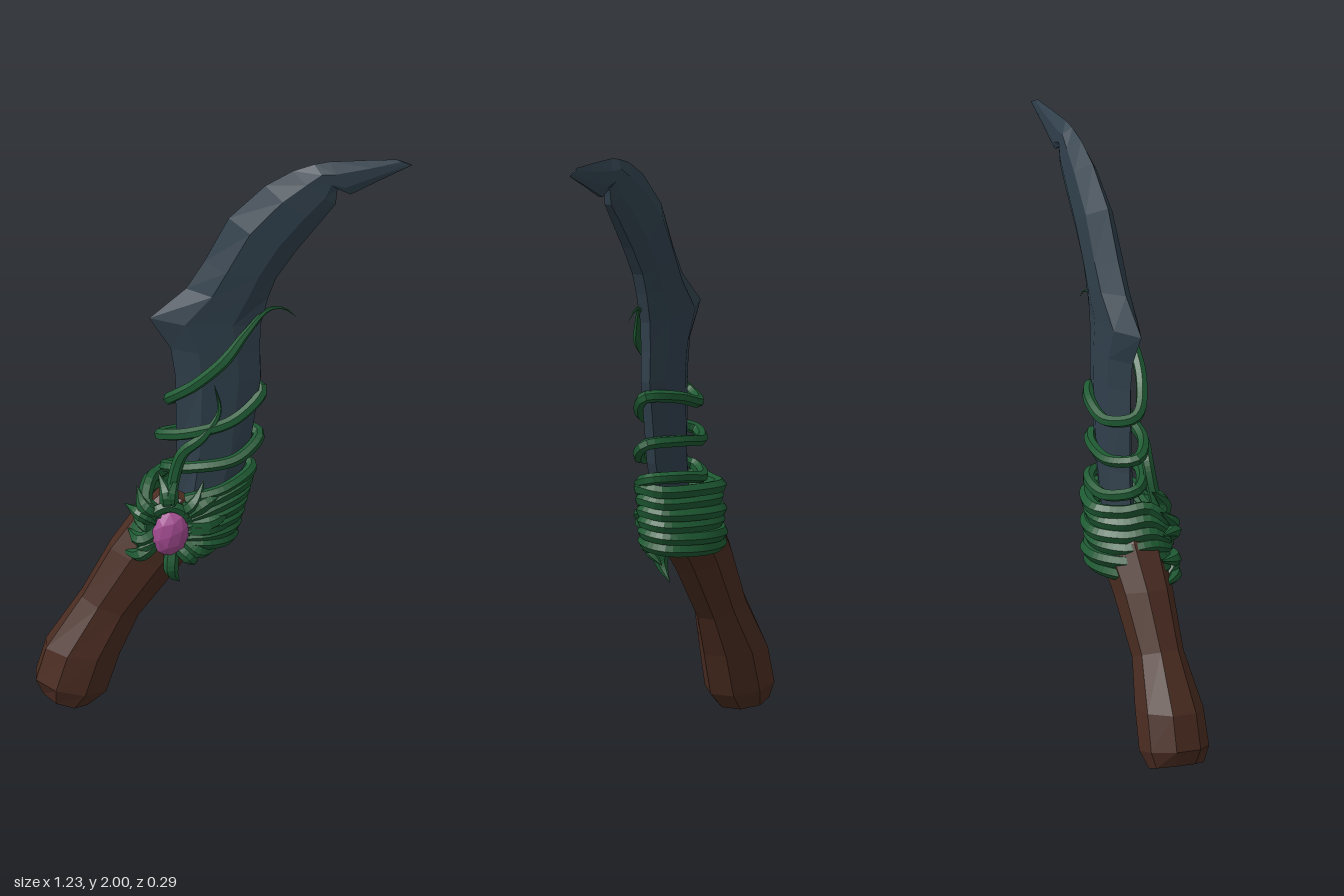
import * as THREE from 'three';

const V = (p) => new THREE.Vector3(...p);
const paint = (name, color) => {
  const m = new THREE.MeshStandardMaterial({ color, flatShading: true });
  m.name = name;
  return m;
};

// Skin a list of rings (same number of points each) and close both ends
function loft(rings) {
  const pos = [], n = rings[0].length, last = rings.length - 1;
  const tri = (...pts) => pts.forEach((p) => pos.push(...p));
  const middle = (ring) => [0, 1, 2].map((k) => ring.reduce((s, p) => s + p[k], 0) / n);
  for (let j = 0; j < last; j++) {
    for (let i = 0; i < n; i++) {
      const a = rings[j][i], b = rings[j][(i + 1) % n];
      const c = rings[j + 1][(i + 1) % n], d = rings[j + 1][i];
      tri(a, b, c);
      tri(a, c, d);
    }
  }
  const low = middle(rings[0]), high = middle(rings[last]);
  for (let i = 0; i < n; i++) {
    const k = (i + 1) % n;
    tri(low, rings[0][k], rings[0][i]);
    tri(high, rings[last][i], rings[last][k]);
  }
  const g = new THREE.BufferGeometry();
  g.setAttribute('position', new THREE.Float32BufferAttribute(pos, 3));
  g.computeVertexNormals();
  return g;
}

// Tube whose radius follows width(t), t from 0 to 1
function vine(points, radius, width, segs) {
  const curve = new THREE.CatmullRomCurve3(points.map(V));
  const sides = 6, g = new THREE.TubeGeometry(curve, segs, radius, sides);
  const p = g.attributes.position, v = new THREE.Vector3();
  for (let i = 0; i <= segs; i++) {
    const c = curve.getPointAt(i / segs);
    for (let j = 0; j <= sides; j++) {
      const k = i * (sides + 1) + j;
      v.fromBufferAttribute(p, k).sub(c).multiplyScalar(width(i / segs)).add(c);
      p.setXYZ(k, v.x, v.y, v.z);
    }
  }
  g.computeVertexNormals();
  return g;
}

export function createModel() {
  const model = new THREE.Group();
  model.name = 'dagger';
  const steel = paint('dark steel', 0x30404c);
  const wood = paint('brown wood', 0x4a2c21);
  const green = paint('vine green', 0x1e5a33);
  const pink = paint('pink gem', 0xa54c92);
  const add = (name, geometry, material, parent = model) => {
    const m = new THREE.Mesh(geometry, material);
    m.name = name;
    parent.add(m);
    return m;
  };

  // Blade: spine x, y, cutting edge x, y, half thickness
  const blade = [
    [-0.17, 0.7, 0, 0.68, 0.042], [-0.16, 0.92, 0.075, 0.92, 0.042],
    [-0.165, 1.2, 0.115, 1.2, 0.042], [-0.18, 1.3, 0.112, 1.3, 0.044],
    [-0.25, 1.41, 0.115, 1.4, 0.046], [-0.13, 1.52, 0.14, 1.5, 0.05],
    [-0.07, 1.62, 0.165, 1.57, 0.051], [0.01, 1.78, 0.23, 1.67, 0.048],
    [0.13, 1.9, 0.31, 1.775, 0.04], [0.22, 1.955, 0.36, 1.84, 0.031],
    [0.29, 1.98, 0.366, 1.895, 0.025], [0.34, 1.99, 0.41, 1.875, 0.021],
    [0.47, 1.997, 0.5, 1.923, 0.012], [0.56, 2, 0.61, 1.98, 0.003],
  ].map(([lx, ly, rx, ry, t]) => {
    const at = (f, z) => [lx + (rx - lx) * f, ly + (ry - ly) * f, z];
    return [at(0, 0), at(0.32, t), at(0.75, t * 0.9), at(1, t * 0.4),
      at(1, -t * 0.4), at(0.75, -t * 0.9), at(0.32, -t)];
  });
  add('blade', loft(blade), steel);

  // Handle: left x, y, right x, y, half depth of each eight-sided section
  const handle = [
    [-0.595, 0.045, -0.45, 0.005, 0.085], [-0.62, 0.1, -0.39, 0.06, 0.104],
    [-0.587, 0.215, -0.345, 0.2, 0.1], [-0.47, 0.4, -0.285, 0.335, 0.075],
    [-0.375, 0.58, -0.15, 0.52, 0.085], [-0.28, 0.72, -0.03, 0.66, 0.095],
    [-0.2, 0.79, 0, 0.75, 0.07],
  ].map(([lx, ly, rx, ry, d]) => Array.from({ length: 8 }, (_, i) => {
    const a = (i + 0.5) * Math.PI / 4, f = 0.5 - 0.5 * Math.cos(a) / Math.cos(Math.PI / 8);
    return [lx + (rx - lx) * f, ly + (ry - ly) * f, d * Math.sin(a) / Math.cos(Math.PI / 8)];
  }));
  add('handle', loft(handle), wood);

  // Long vine winding up the blade
  const vines = new THREE.Group();
  vines.name = 'vines';
  model.add(vines);
  add('climbingVine', vine([
    [-0.13, 0.79, 0.09], [0, 0.83, 0.085], [0.085, 0.87, 0], [0, 0.87, -0.075],
    [-0.13, 0.85, -0.075], [-0.2, 0.87, 0], [-0.1, 0.9, 0.07], [0.04, 0.93, 0.065],
    [0.11, 0.99, 0], [0, 0.99, -0.065], [-0.14, 0.97, -0.065], [-0.215, 0.985, 0],
    [-0.12, 1.02, 0.065], [0.03, 1.07, 0.062], [0.12, 1.15, 0], [0.02, 1.14, -0.065],
    [-0.12, 1.1, -0.065], [-0.185, 1.12, 0.01], [-0.1, 1.2, 0.07], [0, 1.3, 0.085],
    [0.07, 1.385, 0.05], [0.14, 1.45, 0.01], [0.19, 1.45, 0], [0.23, 1.42, 0],
  ], 0.02, (t) => 0.02 + 0.98 * Math.min(1, (1 - t) * 9), 150), green, vines);

  // Short shoot up the front of the blade
  add('shoot', vine([
    [-0.18, 0.76, 0.1], [-0.17, 0.85, 0.08], [-0.14, 0.95, 0.072],
    [-0.07, 1.02, 0.085], [-0.02, 1.1, 0.06], [-0.035, 1.19, 0.05],
  ], 0.02, (t) => 0.02 + 0.98 * Math.min(1, (1 - t) * 2), 30), green, vines);

  // Wraps binding blade to handle, gathered at the gem
  for (let k = 0; k < 6; k++) {
    const y = 0.615 + k * 0.04, lean = k * 0.01, out = k % 2 * 0.012;
    const front = 0.64 + k * 0.02;
    add('wrap', vine([
      [-0.13, front, 0.095], [-0.05, (front + y) / 2 + 0.01, 0.095],
      [0.005 + lean, y + 0.015, 0.045], [0.015 + lean, y + 0.01, -0.03],
      [-0.06, y + 0.005, -0.095 - out], [-0.17, y, -0.105 - out],
      [-0.275 + lean, y, -0.05], [-0.3 + lean, y + 0.01, 0.025],
      [-0.26, (front + y) / 2, 0.08], [-0.22, front, 0.095],
    ], 0.024, () => 1, 40), green, vines);
  }

  // Tapered tendrils fanning out around the gem: tip x, y, z
  [
    [-0.15, 0.475, 0.06], [-0.1, 0.54, 0.06], [-0.02, 0.6, 0.05], [0.03, 0.68, 0.04],
    [0.04, 0.76, 0.04], [0.03, 0.83, 0.06], [-0.07, 0.85, 0.07], [-0.15, 0.88, 0.06],
    [-0.22, 0.87, 0.05], [-0.29, 0.82, 0.05], [-0.33, 0.75, 0.04], [-0.34, 0.58, 0.04],
    [-0.29, 0.59, 0.07], [-0.32, 0.66, 0.04],
  ].forEach(([x, y, z], i) => {
    const dx = x + 0.18, dy = y - 0.68, a = Math.atan2(dy, dx);
    const sx = -0.18 + 0.05 * Math.cos(a), sy = 0.68 + 0.07 * Math.sin(a);
    const bend = i % 2 ? 0.015 : -0.015;
    add('tendril', vine([
      [sx, sy, 0.09],
      [(sx + x) / 2 - bend * Math.sin(a), (sy + y) / 2 + bend * Math.cos(a), 0.108],
      [x, y, z],
    ], 0.025, (t) => 0.03 + 0.97 * Math.min(1, (1 - t) * 1.8), 12), green, vines);
  });

  // Hood of vine over the top of the gem
  add('gemHood', vine([
    [-0.25, 0.68, 0.09], [-0.235, 0.745, 0.105], [-0.18, 0.775, 0.11],
    [-0.125, 0.745, 0.105], [-0.11, 0.67, 0.09],
  ], 0.02, () => 1, 20), green, vines);

  // Faceted gem
  const gem = add('gem', new THREE.IcosahedronGeometry(1, 1), pink);
  gem.scale.set(0.066, 0.09, 0.045);
  gem.position.set(-0.178, 0.678, 0.098);
  gem.rotation.z = -0.25;

  return model;
}
